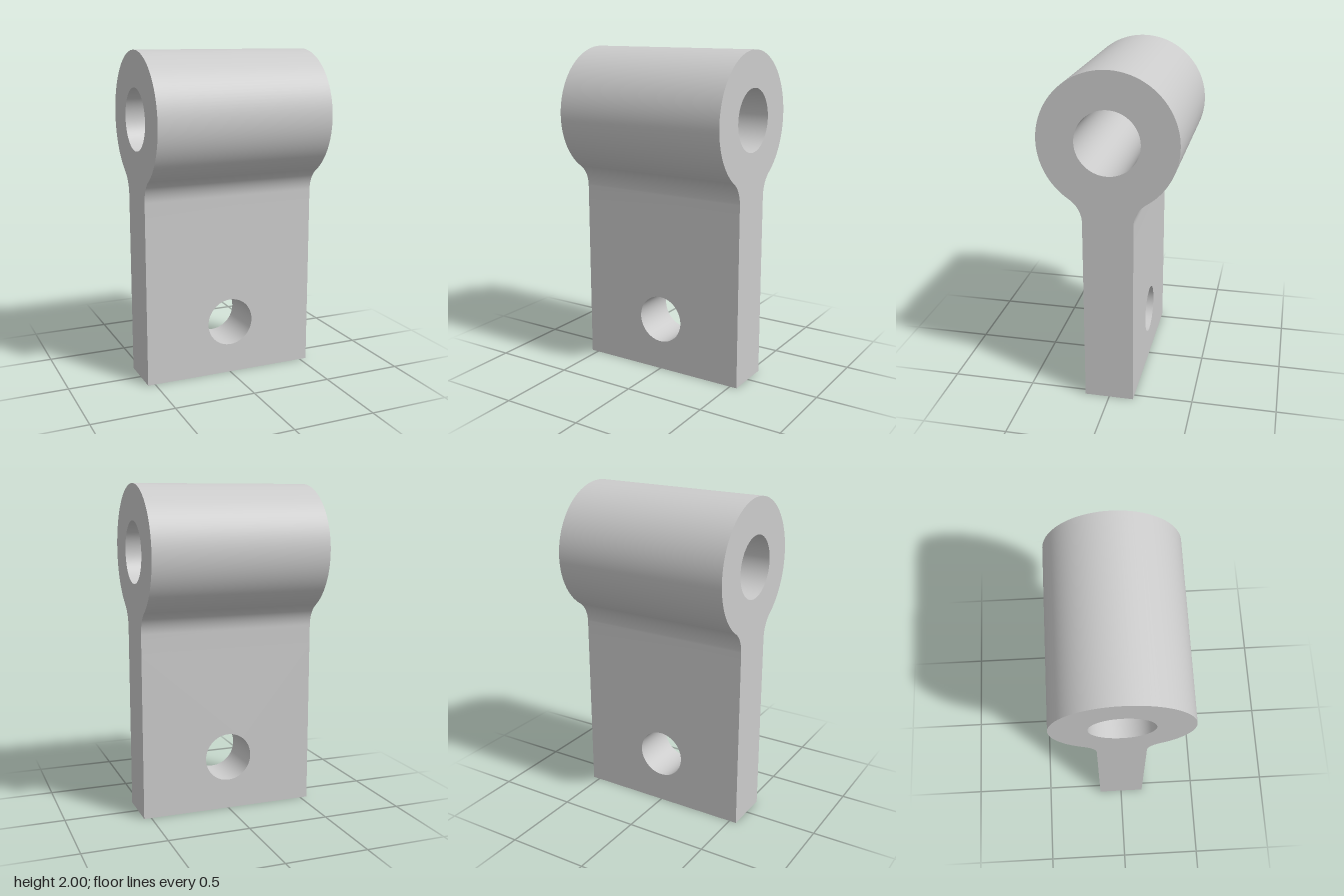
import * as THREE from 'three';
import { toCreasedNormals } from 'three/addons/utils/BufferGeometryUtils.js';

const WIDTH = 1.09;                     // along x
const HALF_T = 0.147;                   // half thickness of the plate
const SEAM = 1.0;                       // height where plate and eye meet
const EYE_Y = 1.6, EYE_R = 0.4, BORE_R = 0.186;
const HOLE_Y = 0.33, HOLE_R = 0.147;
const FILLET_R = 0.163, FILLET_Y = 1.13;

// Points along an arc, leaving out the first one so arcs can be chained
function arc(cx, cy, r, from, to, n) {
  return Array.from({ length: n }, (_, i) => {
    const a = from + (to - from) * (i + 1) / n;
    return new THREE.Vector2(cx + r * Math.cos(a), cy + r * Math.sin(a));
  });
}

// Extrude centred on its depth
function extrude(points, hole, depth) {
  const shape = new THREE.Shape(points);
  shape.holes.push(new THREE.Path(hole));
  return new THREE.ExtrudeGeometry(shape, { depth, bevelEnabled: false })
    .translate(0, 0, -depth / 2);
}

// Drop the hidden faces on the seam and smooth the round surfaces
function finish(geometry) {
  const p = geometry.attributes.position;
  const kept = [];
  for (let i = 0; i < p.count; i += 3) {
    const onSeam = [0, 1, 2].every((k) => Math.abs(p.getY(i + k) - SEAM) < 1e-5);
    if (onSeam) continue;
    for (let k = 0; k < 3; k++) kept.push(p.getX(i + k), p.getY(i + k), p.getZ(i + k));
  }
  const out = new THREE.BufferGeometry();
  out.setAttribute('position', new THREE.Float32BufferAttribute(kept, 3));
  return toCreasedNormals(out, 0.5);
}

export function createModel() {
  const group = new THREE.Group();
  group.name = 'hingeEyeBracket';
  const material = new THREE.MeshStandardMaterial({ color: 0xcccccc });
  const add = (name, geometry) => {
    const mesh = new THREE.Mesh(finish(geometry), material);
    mesh.name = name;
    group.add(mesh);
  };
  const v = (x, y) => new THREE.Vector2(x, y);
  const TAU = Math.PI * 2;

  // Flat mounting plate with a bolt hole through z
  const h = WIDTH / 2;
  add('mountingPlate', extrude(
    [v(-h, 0), v(h, 0), v(h, SEAM), v(-h, SEAM)],
    arc(0, HOLE_Y, HOLE_R, 0, TAU, 72),
    HALF_T * 2));

  // Round eye with a bore through x, blended into the plate by two fillets
  const fx = HALF_T + FILLET_R;
  const tilt = Math.atan2(EYE_Y - FILLET_Y, fx);
  const profile = [
    v(-HALF_T, SEAM), v(HALF_T, SEAM), v(HALF_T, FILLET_Y),
    ...arc(fx, FILLET_Y, FILLET_R, Math.PI, Math.PI - tilt, 16),
    ...arc(0, EYE_Y, EYE_R, -tilt, Math.PI + tilt, 96),
    ...arc(-fx, FILLET_Y, FILLET_R, tilt, 0, 16),
  ];
  add('pinEye', extrude(profile, arc(0, EYE_Y, BORE_R, 0, TAU, 80), WIDTH)
    .rotateY(-Math.PI / 2));

  return group;
}
